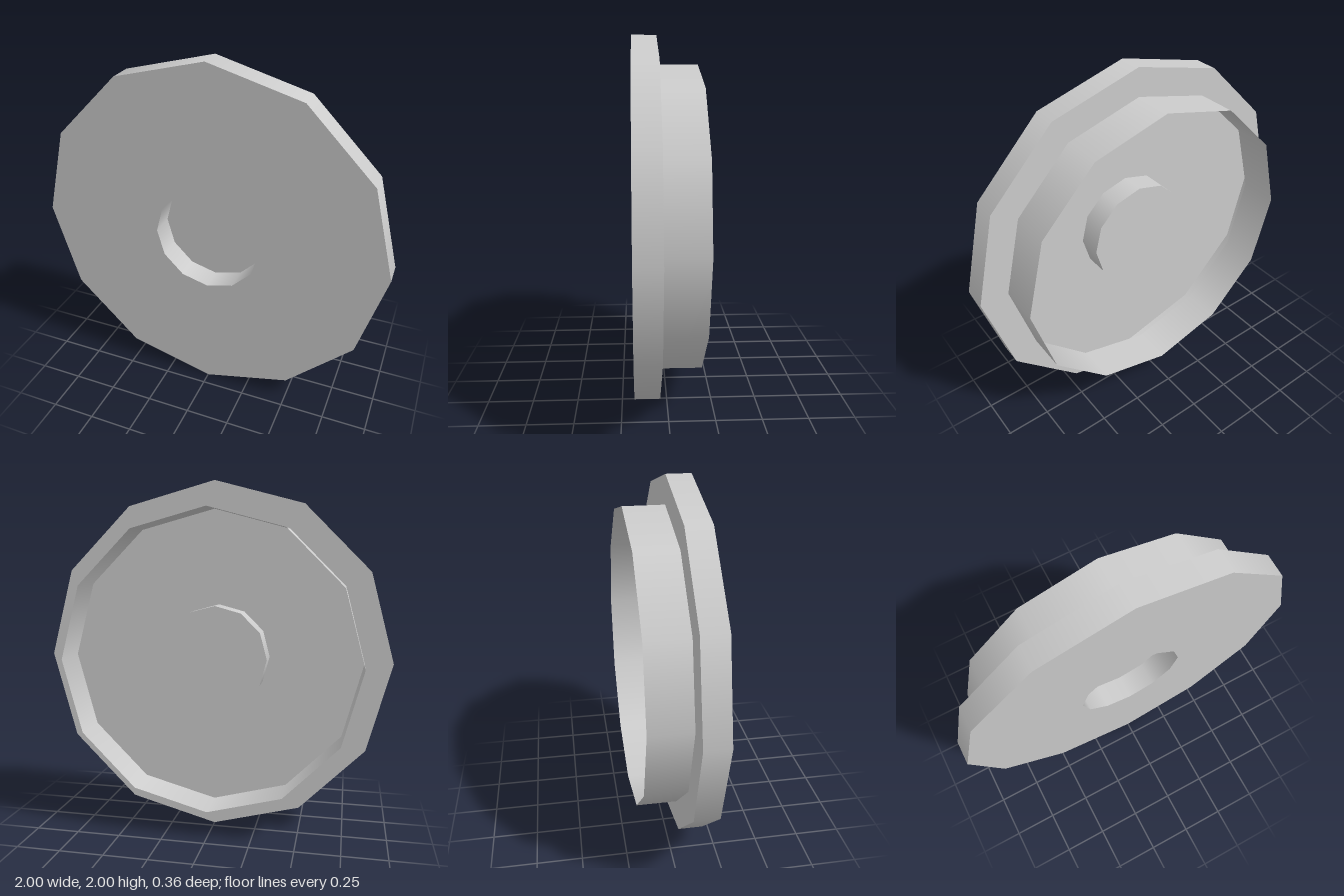
import * as THREE from 'three';

const SIDES = 12;

export function createModel() {
  const model = new THREE.Group();
  model.name = 'wheel';

  const metal = new THREE.MeshStandardMaterial({ color: 0xcccccc, side: THREE.DoubleSide });
  metal.name = 'lightGrey';

  // thin shell profile as [radius, z], from the open back rim to the hub centre
  const profile = [
    [0.845, -0.18], [0.845, 0.045], [1, 0.045], [1, 0.18],
    [0.303, 0.18], [0.303, 0.045], [0, 0.045],
  ];
  const names = ['tread', 'flangeBack', 'flangeEdge', 'frontDisc', 'hubWall', 'hubFloor'];

  // one revolved band per profile segment: smooth around, sharp between bands
  names.forEach((name, i) => {
    const points = [profile[i], profile[i + 1]].map(([r, z]) => new THREE.Vector2(r, z));
    const band = new THREE.LatheGeometry(points, SIDES);
    band.rotateX(Math.PI / 2);
    const mesh = new THREE.Mesh(band, metal);
    mesh.name = name;
    mesh.position.y = 1;
    model.add(mesh);
  });

  return model;
}
